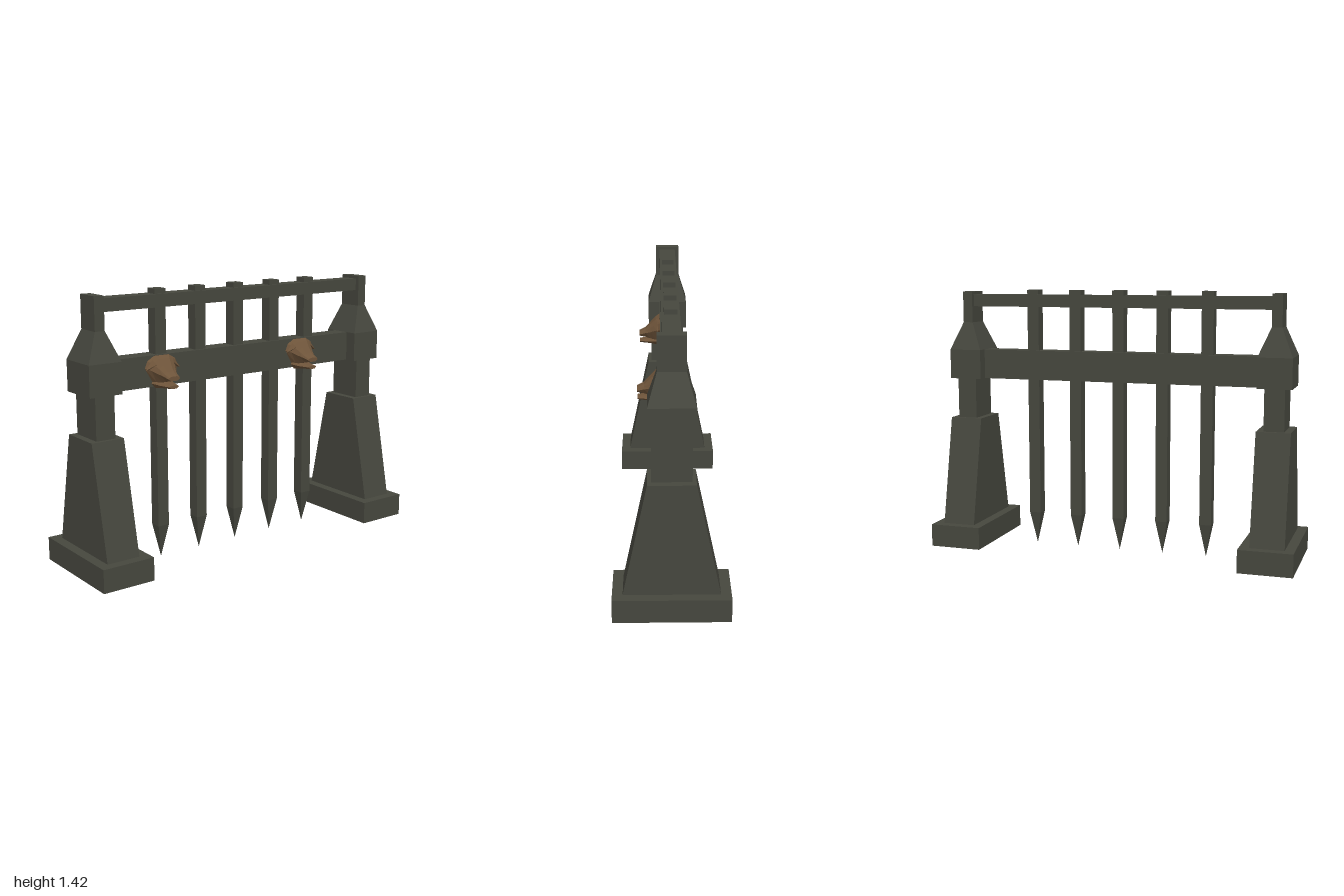
import * as THREE from 'three';

const stone = new THREE.MeshStandardMaterial({ color: 0x46473e, flatShading: true });
stone.name = 'dark stone';
stone.side = THREE.DoubleSide;
const bronze = new THREE.MeshStandardMaterial({ color: 0x6e543a, flatShading: true });
bronze.name = 'aged bronze';
bronze.side = THREE.DoubleSide;

function add(parent, name, geometry, material = stone) {
  const mesh = new THREE.Mesh(geometry, material);
  mesh.name = name;
  parent.add(mesh);
  return mesh;
}

// Box from y0 to y1 whose top can be narrower than its bottom
function block(w, d, y0, y1, topW = w, topD = d) {
  const g = new THREE.BoxGeometry(w, y1 - y0, d);
  g.translate(0, (y0 + y1) / 2, 0);
  const p = g.attributes.position;
  for (let i = 0; i < p.count; i++) {
    if (p.getY(i) > (y0 + y1) / 2) {
      p.setX(i, p.getX(i) * topW / w);
      p.setZ(i, p.getZ(i) * topD / d);
    }
  }
  g.computeVertexNormals();
  return g;
}

// Skin over eight-sided rings, each [z, halfWidth, top, middle, bottom]
function loft(rings) {
  const pos = [], index = [], n = 8;
  for (const [z, w, top, mid, bot] of rings) {
    const up = mid + (top - mid) * 0.6;
    const pts = [[0.45, top], [0.85, up], [1, mid], [0.55, bot],
      [-0.55, bot], [-1, mid], [-0.85, up], [-0.45, top]];
    for (const [x, y] of pts) pos.push(x * w, y, z);
  }
  for (let r = 0; r < rings.length - 1; r++) {
    for (let i = 0; i < n; i++) {
      const a = r * n + i, b = r * n + (i + 1) % n;
      index.push(a, a + n, b, b, a + n, b + n);
    }
  }
  const last = (rings.length - 1) * n;
  for (let i = 1; i < n - 1; i++) index.push(last, last + i + 1, last + i);
  const g = new THREE.BufferGeometry();
  g.setAttribute('position', new THREE.Float32BufferAttribute(pos, 3));
  g.setIndex(index);
  g.computeVertexNormals();
  return g;
}

function createPillar(side) {
  const pillar = new THREE.Group();
  pillar.name = side > 0 ? 'leftPillar' : 'rightPillar';
  // Plinth is hollow and open underneath
  const plinth = block(0.285, 0.575, 0.01, 0.132);
  const idx = Array.from(plinth.index.array);
  idx.splice(18, 6);
  plinth.setIndex(idx);
  plinth.clearGroups();
  add(pillar, 'plinth', plinth).position.x = side * 0.8575;
  const shaft = new THREE.Group();
  shaft.name = 'shaft';
  shaft.position.x = side * 0.858;
  pillar.add(shaft);
  add(shaft, 'leg', block(0.18, 0.472, 0.132, 0.712, 0.18, 0.23));
  add(shaft, 'neck', block(0.106, 0.192, 0.712, 0.932));
  add(shaft, 'capital', block(0.18, 0.224, 0.932, 1.092));
  add(shaft, 'shoulder', block(0.18, 0.224, 1.092, 1.242, 0.054, 0.134));
  add(shaft, 'finial', block(0.054, 0.134, 1.242, 1.412));
  return pillar;
}

function createSpike(x) {
  const spike = new THREE.Group();
  spike.name = 'spike';
  spike.position.x = x;
  add(spike, 'bar', block(0.064, 0.064, 0.18, 1.422));
  const tip = new THREE.ConeGeometry(0.032 * Math.SQRT2, 0.18, 4);
  tip.rotateY(Math.PI / 4).rotateX(Math.PI).translate(0, 0.09, 0);
  add(spike, 'point', tip);
  return spike;
}

function createHead(x) {
  const head = new THREE.Group();
  head.name = 'beastHead';
  head.position.x = x;
  // Broad mane narrowing to the muzzle
  add(head, 'skullAndMuzzle', loft([
    [0.045, 0.1, 1.09, 1.03, 0.955],
    [0.07, 0.075, 1.075, 1.02, 0.955],
    [0.1, 0.055, 1.045, 1.005, 0.96],
    [0.13, 0.042, 1.015, 0.995, 0.968],
    [0.165, 0.034, 0.997, 0.985, 0.974],
  ]), bronze);
  add(head, 'lowerJaw', loft([
    [0.045, 0.062, 0.97, 0.95, 0.922],
    [0.1, 0.046, 0.956, 0.945, 0.93],
    [0.162, 0.028, 0.95, 0.944, 0.934],
  ]), bronze);
  for (const s of [-1, 1]) {
    const ear = new THREE.ConeGeometry(0.024, 0.06, 4);
    ear.rotateZ(-s * 2.1).translate(s * 0.077, 1.035, 0.062);
    add(head, 'ear', ear, bronze);
  }
  return head;
}

export function createModel() {
  const gate = new THREE.Group();
  gate.name = 'spikedGate';
  for (const side of [-1, 1]) gate.add(createPillar(side));
  // Rails
  add(gate, 'crossBeam', block(1.56, 0.1, 0.932, 1.092)).position.z = -0.003;
  add(gate, 'topRail', block(1.67, 0.09, 1.33, 1.396));
  for (let i = -2; i <= 2; i++) gate.add(createSpike(-0.004 + i * 0.244));
  for (const x of [-0.5, 0.41]) gate.add(createHead(x));
  return gate;
}
